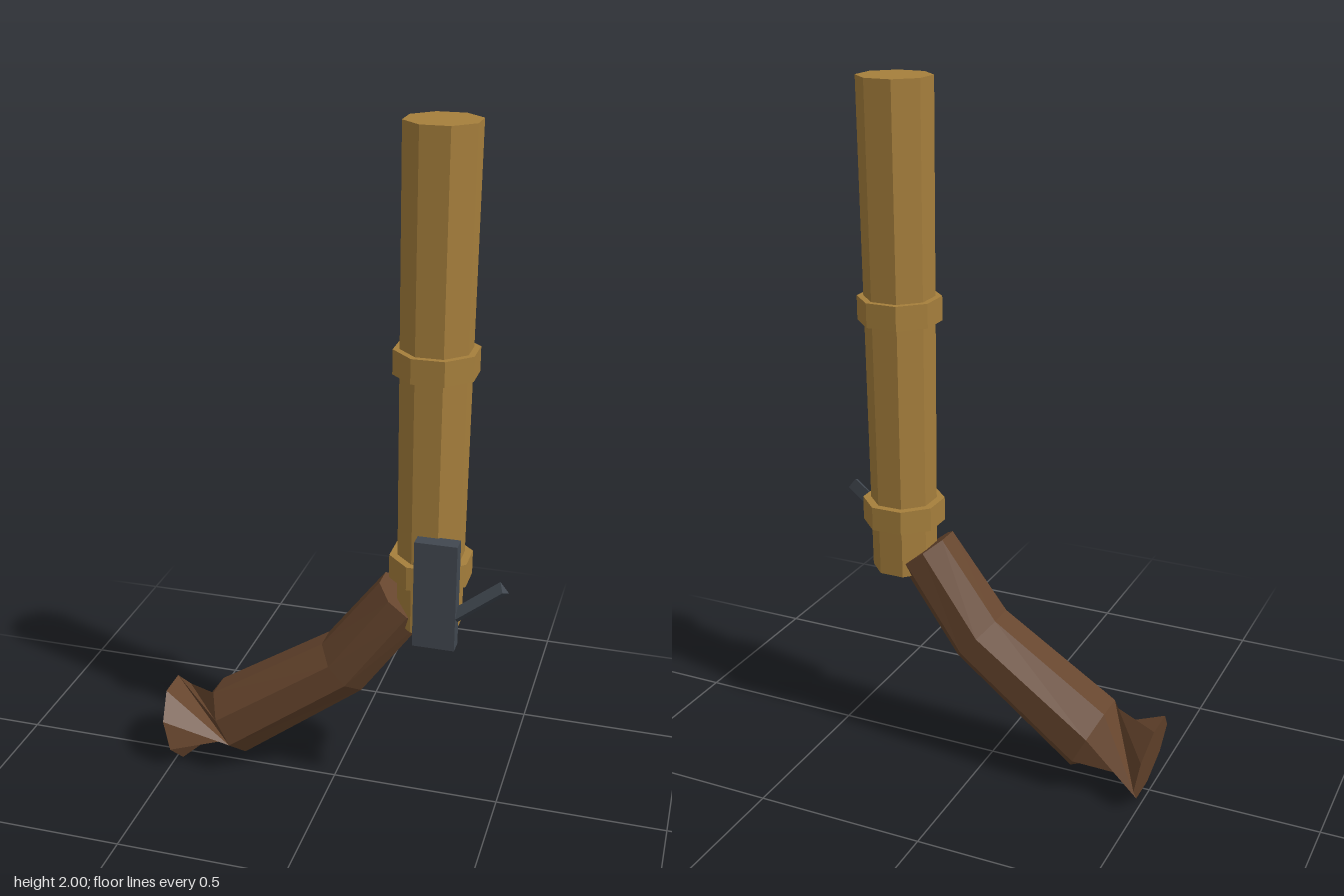
import * as THREE from 'three';

const AXIS_X = 0.28, AXIS_Z = -0.009, SIDES = 8;

function material(name, color) {
  const m = new THREE.MeshStandardMaterial({ color, flatShading: true });
  m.name = name;
  return m;
}

// Octagonal prism with flats facing the axes, sized by half width across flats
function octagon(name, topHalf, bottomHalf, y0, y1, mat) {
  const k = 1 / Math.cos(Math.PI / SIDES);
  const geo = new THREE.CylinderGeometry(topHalf * k, bottomHalf * k, y1 - y0, SIDES);
  geo.rotateY(Math.PI / SIDES);
  const mesh = new THREE.Mesh(geo, mat);
  mesh.name = name;
  mesh.position.set(AXIS_X, (y0 + y1) / 2, AXIS_Z);
  return mesh;
}

// Octagonal loft; each section has an upper point, a lower point, a half width and a twist in corners
function loft(sections) {
  const rings = sections.map(({ up, low, half }) => {
    const c = [(up[0] + low[0]) / 2, (up[1] + low[1]) / 2];
    const k = 1 / Math.cos(Math.PI / SIDES);
    return Array.from({ length: SIDES }, (_, j) => {
      const t = (j - 0.5) * 2 * Math.PI / SIDES;
      const h = Math.cos(t) * k;
      return [c[0] + (up[0] - c[0]) * h, c[1] + (up[1] - c[1]) * h, AXIS_Z + half * k * Math.sin(t)];
    });
  });
  const pos = [];
  const tri = (...pts) => pts.forEach((p) => pos.push(...p));
  for (let s = 0; s < rings.length - 1; s++) {
    const S = rings[s], T = rings[s + 1], twist = sections[s + 1].twist || 0;
    for (let i = 0; i < SIDES; i++) {
      const a = S[(i + twist) % SIDES], b = S[(i + 1 + twist) % SIDES];
      const c = T[(i + 1) % SIDES], d = T[i];
      tri(a, d, b);
      tri(d, c, b);
    }
  }
  // End caps
  const first = rings[0], last = rings[rings.length - 1];
  for (let i = 1; i < SIDES - 1; i++) {
    tri(first[0], first[i], first[i + 1]);
    tri(last[0], last[i + 1], last[i]);
  }
  const geo = new THREE.BufferGeometry();
  geo.setAttribute('position', new THREE.Float32BufferAttribute(pos, 3));
  geo.computeVertexNormals();
  return geo;
}

export function createModel() {
  const group = new THREE.Group();
  const brass = material('brass', 0xa67f3c);
  const wood = material('dark wood', 0x66452d);
  const iron = material('dark iron', 0x414850);

  // Barrel, slightly flared to the muzzle, with two bands
  group.add(octagon('barrel', 0.097, 0.087, 0.58, 2, brass));
  group.add(octagon('lowerBand', 0.11, 0.11, 0.725, 0.795, brass));
  group.add(octagon('upperBand', 0.11, 0.11, 1.33, 1.4, brass));

  // Bent grip ending in a twisted flared butt
  const stock = new THREE.Mesh(loft([
    { up: [0.14, 0.697], low: [0.273, 0.593], half: 0.084 },
    { up: [-0.03, 0.473], low: [0.09, 0.338], half: 0.096 },
    { up: [-0.373, 0.252], low: [-0.274, 0.06], half: 0.109 },
    { up: [-0.525, 0.235], low: [-0.48, 0.003], half: 0.117, twist: 2 },
  ]), wood);
  stock.name = 'stock';
  group.add(stock);

  // Side plate of the lock
  const plate = new THREE.Mesh(new THREE.BoxGeometry(0.12, 0.32, 0.047), iron);
  plate.name = 'lockPlate';
  plate.position.set(0.32, 0.725, 0.098);
  group.add(plate);

  // Three-sided lever slanting out of the plate
  const leverGeo = new THREE.CylinderGeometry(0.023, 0.023, 0.2, 3);
  const lever = new THREE.Mesh(leverGeo, iron);
  lever.name = 'lever';
  lever.rotation.z = -0.9;
  lever.position.set(0.507 - 0.1 * Math.sin(0.9), 0.765 - 0.1 * Math.cos(0.9), 0.097);
  group.add(lever);

  return group;
}
